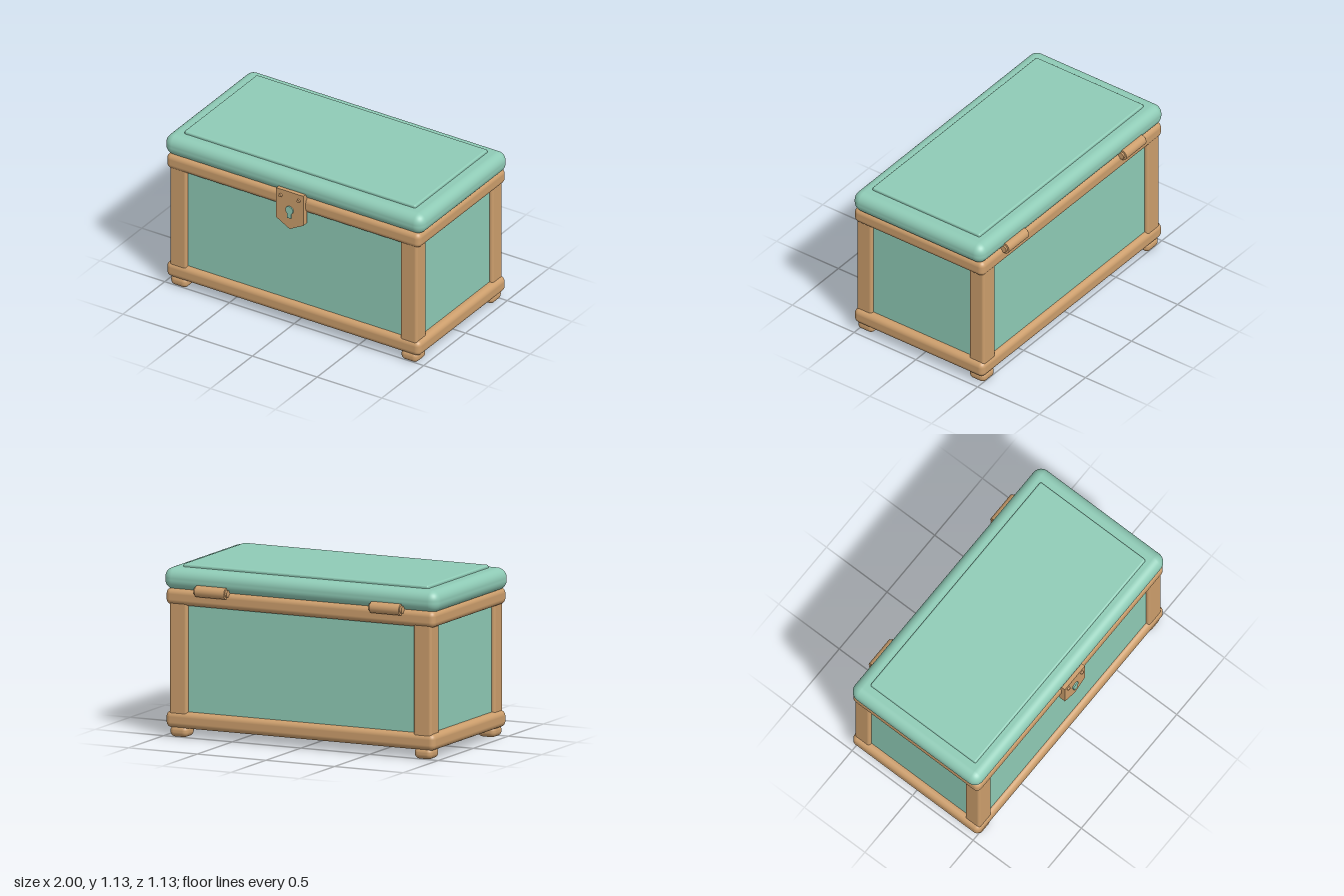
import * as THREE from 'three';
import { RoundedBoxGeometry } from 'three/addons/geometries/RoundedBoxGeometry.js';

export function createModel() {
  const chest = new THREE.Group();
  chest.name = 'chest';

  const teal = new THREE.MeshStandardMaterial({ color: 0x8fcbb6 });
  teal.name = 'teal';
  const wood = new THREE.MeshStandardMaterial({ color: 0xcc9e6c });
  wood.name = 'wood';

  const add = (name, geometry, material, x = 0, y = 0, z = 0, parent = chest) => {
    const mesh = new THREE.Mesh(geometry, material);
    mesh.name = name;
    mesh.position.set(x, y, z);
    parent.add(mesh);
    return mesh;
  };
  // Rounded block placed by its bottom and top heights
  const block = (name, material, w, y0, y1, d, r, x = 0, z = 0) =>
    add(name, new RoundedBoxGeometry(w, y1 - y0, d, 5, r), material, x, (y0 + y1) / 2, z);

  // Body panels, rims and lid
  add('body', new THREE.BoxGeometry(1.86, 0.8, 0.98), teal, 0, 0.52, 0);
  block('baseRim', wood, 1.96, 0.062, 0.172, 1.05, 0.037);
  block('topRim', wood, 1.96, 0.872, 0.982, 1.05, 0.037);
  block('lid', teal, 2, 0.968, 1.115, 1.056, 0.066);
  block('lidPanel', teal, 1.786, 1.08, 1.135, 0.87, 0.012);

  // Corner posts and feet
  for (const sx of [-1, 1]) {
    for (const sz of [-1, 1]) {
      block('cornerPost', wood, 0.13, 0.12, 0.93, 0.12, 0.018, sx * 0.89, sz * 0.455);
      block('foot', wood, 0.13, 0.002, 0.078, 0.128, 0.034, sx * 0.89, sz * 0.452);
    }
  }

  // Lock plate with a pointed lower edge
  const lock = new THREE.Group();
  lock.name = 'lock';
  chest.add(lock);
  const plate = new THREE.Shape([
    [-0.105, 1.015], [-0.105, 0.795], [0, 0.737], [0.105, 0.795], [0.105, 1.015],
  ].map(([x, y]) => new THREE.Vector2(x, y)));
  add('lockPlate', new THREE.ExtrudeGeometry(plate, { depth: 0.043, bevelEnabled: false }),
    wood, 0, 0, 0.51, lock);

  // Keyhole: round top running into a short slot
  const keyhole = new THREE.Shape();
  keyhole.moveTo(-0.014, 0.822);
  keyhole.lineTo(0.014, 0.822);
  keyhole.lineTo(0.014, 0.855);
  keyhole.absarc(0, 0.88, 0.029, -1.066, Math.PI + 1.066, false);
  keyhole.closePath();
  add('keyhole', new THREE.ExtrudeGeometry(keyhole, { depth: 0.009, bevelEnabled: false }),
    teal, 0, 0, 0.553, lock);

  for (const sx of [-1, 1]) {
    // Rivets in the lock plate
    const rivet = add('rivet', new THREE.CylinderGeometry(0.011, 0.013, 0.014, 16), wood,
      sx * 0.07, 0.971, 0.557, lock);
    rivet.rotation.x = Math.PI / 2;

    // Hinge barrel with a thinner pin showing at both ends
    const hinge = new THREE.Group();
    hinge.name = 'hinge';
    hinge.position.set(sx * 0.637, 0.98, -0.527);
    hinge.rotation.z = Math.PI / 2;
    chest.add(hinge);
    add('hingeBarrel', new THREE.CylinderGeometry(0.038, 0.038, 0.215, 20), wood, 0, 0, 0, hinge);
    add('hingePin', new THREE.CylinderGeometry(0.024, 0.024, 0.242, 20), wood, 0, 0, 0, hinge);
  }

  return chest;
}
